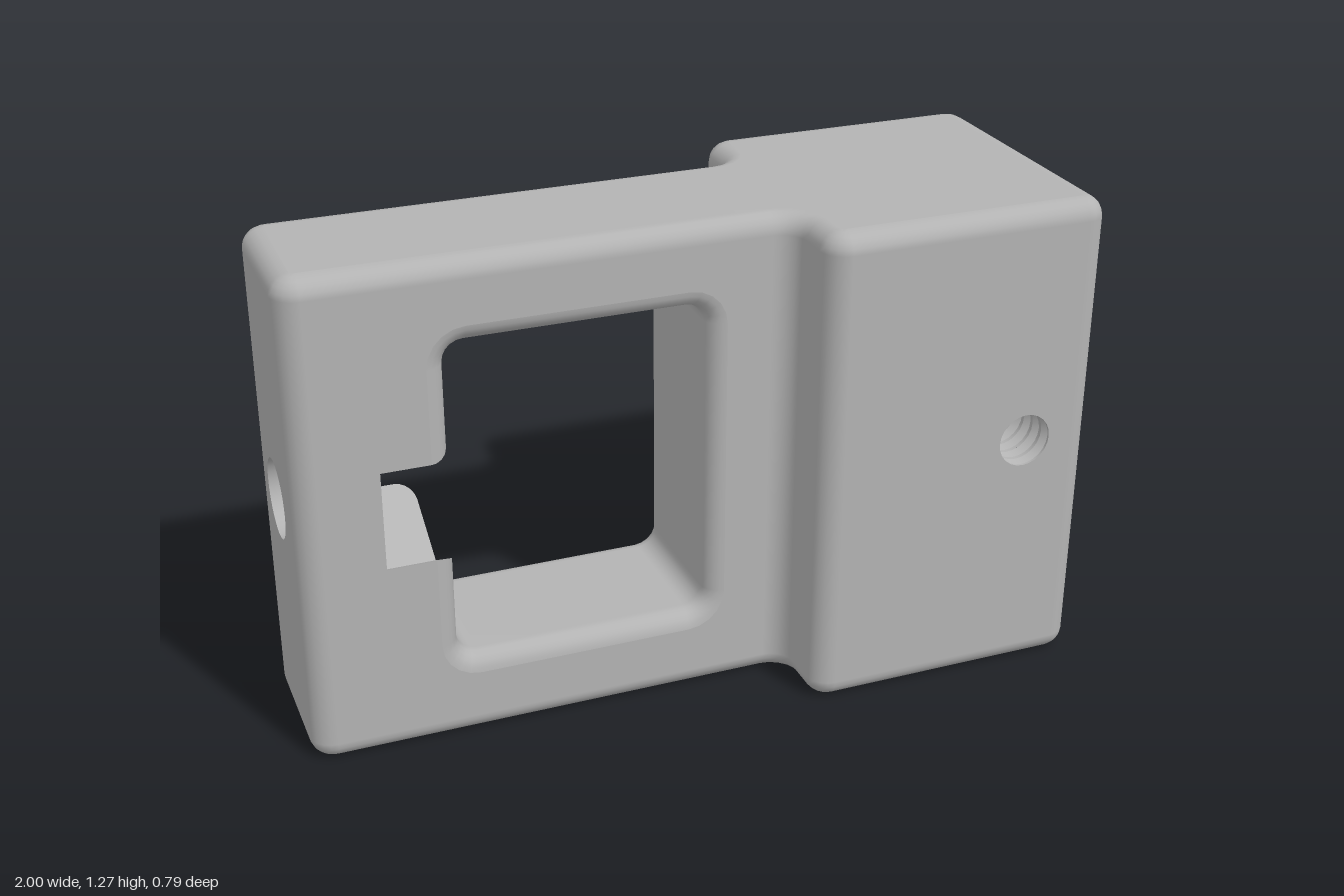
import * as THREE from 'three';

const EPS = 1e-5;

// ---- outlines -------------------------------------------------------------
// Polygon of right-angled corners [u, v, radius], each rounded by its radius
function rounded(corners, n = 5) {
  const out = [];
  corners.forEach(([u, v, r = 0], i) => {
    const p = new THREE.Vector2(u, v);
    if (!r) { out.push(p); return; }
    const dir = (c) => new THREE.Vector2(c[0], c[1]).sub(p).normalize().multiplyScalar(r);
    const a = dir(corners[(i + corners.length - 1) % corners.length]);
    const b = dir(corners[(i + 1) % corners.length]);
    for (let k = 0; k <= n; k++) {
      const t = (k / n) * Math.PI / 2;
      out.push(p.clone().addScaledVector(a, 1 - Math.sin(t)).addScaledVector(b, 1 - Math.cos(t)));
    }
  });
  return out;
}

const rect = (u0, u1, v0, v1, r) => rounded([[u0, v0, r], [u1, v0, r], [u1, v1, r], [u0, v1, r]]);

const ngon = (u, v, r, n, turn = 0) => Array.from({ length: n }, (_, i) => {
  const a = turn + (i / n) * Math.PI * 2;
  return new THREE.Vector2(u + r * Math.cos(a), v + r * Math.sin(a));
});

// ---- solids ---------------------------------------------------------------
// Extrude an outline from lo to hi: along z from (x,y), x from (z,y), y from (x,z)
function prism(points, lo, hi, axis = 'z', bevel = 0) {
  const g = new THREE.ExtrudeGeometry(new THREE.Shape(points), {
    depth: hi - lo - 2 * bevel, bevelEnabled: bevel > 0, bevelSize: bevel,
    bevelThickness: bevel, bevelOffset: -bevel, bevelSegments: 5,
  });
  const pos = g.attributes.position;
  for (let i = 0; i < pos.count; i++) {
    const u = pos.getX(i), v = pos.getY(i), w = pos.getZ(i) + lo + bevel;
    if (axis === 'z') pos.setXYZ(i, u, v, w);
    else if (axis === 'x') pos.setXYZ(i, w, v, u);
    else pos.setXYZ(i, u, w, v);
  }
  return g;
}

// Skin a stack of convex rings {z, points}
function loft(rings) {
  const n = rings[0].points.length, last = (rings.length - 1) * n;
  const pos = rings.flatMap(({ z, points }) => points.flatMap((p) => [p.x, p.y, z]));
  const idx = [];
  for (let r = 0; r < last; r += n) {
    for (let i = 0; i < n; i++) {
      const j = (i + 1) % n;
      idx.push(r + i, r + j, r + n + j, r + i, r + n + j, r + n + i);
    }
  }
  for (let i = 1; i < n - 1; i++) idx.push(0, i + 1, i, last, last + i, last + i + 1);
  const g = new THREE.BufferGeometry();
  g.setAttribute('position', new THREE.Float32BufferAttribute(pos, 3));
  g.setIndex(idx);
  return g;
}

// ---- cutting --------------------------------------------------------------
// Geometry to outward-facing polygons with creased, area-weighted normals
function toPolygons(geometry) {
  const g = geometry.index ? geometry.toNonIndexed() : geometry;
  const at = (i) => new THREE.Vector3().fromBufferAttribute(g.attributes.position, i);
  const cross = ([a, b, c]) => b.clone().sub(a).cross(c.clone().sub(a));
  const key = (p) => p.toArray().map((x) => Math.round(x * 1e4)).join();
  let tris = [], volume = 0;
  for (let i = 0; i < g.attributes.position.count; i += 3) {
    const t = [at(i), at(i + 1), at(i + 2)];
    volume += t[0].dot(t[1].clone().cross(t[2]));
    if (cross(t).length() > 1e-9) tris.push(t);
  }
  if (volume < 0) tris = tris.map((t) => t.reverse());
  const shared = new Map();
  for (const t of tris) {
    for (const p of t) {
      if (!shared.has(key(p))) shared.set(key(p), []);
      shared.get(key(p)).push(cross(t));
    }
  }
  return tris.map((t) => {
    const face = cross(t);
    const v = t.map((p) => {
      const n = new THREE.Vector3();
      for (const m of shared.get(key(p))) if (m.angleTo(face) < 0.6) n.add(m);
      return { p, n: n.normalize() };
    });
    return { v, plane: new THREE.Plane().setFromCoplanarPoints(...t) };
  });
}

function split(plane, poly, coFront, coBack, front, back) {
  const d = poly.v.map((a) => plane.distanceToPoint(a.p));
  const anyFront = d.some((x) => x > EPS), anyBack = d.some((x) => x < -EPS);
  if (!anyFront && !anyBack) (plane.normal.dot(poly.plane.normal) > 0 ? coFront : coBack).push(poly);
  else if (!anyBack) front.push(poly);
  else if (!anyFront) back.push(poly);
  else {
    const f = [], b = [];
    poly.v.forEach((a, i) => {
      const j = (i + 1) % d.length, c = poly.v[j];
      if (d[i] >= -EPS) f.push(a);
      if (d[i] <= EPS) b.push(a);
      if ((d[i] > EPS && d[j] < -EPS) || (d[i] < -EPS && d[j] > EPS)) {
        const t = d[i] / (d[i] - d[j]);
        const m = { p: a.p.clone().lerp(c.p, t), n: a.n.clone().lerp(c.n, t) };
        f.push(m);
        b.push(m);
      }
    });
    if (f.length > 2) front.push({ v: f, plane: poly.plane });
    if (b.length > 2) back.push({ v: b, plane: poly.plane });
  }
}

function buildTree(polys) {
  const plane = polys[0].plane, front = [], back = [], same = [];
  for (const p of polys.slice(1)) split(plane, p, same, same, front, back);
  return {
    plane,
    front: front.length ? buildTree(front) : null,
    back: back.length ? buildTree(back) : null,
  };
}

function clip(node, polys, inside) {
  if (!polys.length) return [];
  const f = [], b = [];
  for (const p of polys) split(node.plane, p, f, b, f, b);
  const keptFront = node.front ? clip(node.front, f, inside) : inside ? [] : f;
  const keptBack = node.back ? clip(node.back, b, inside) : inside ? b : [];
  return keptFront.concat(keptBack);
}

// Keep what lies inside or outside a solid, leaving untouched polygons whole
const sift = (solid, polys, inside) => polys.flatMap((poly) => {
  const box = new THREE.Box3().setFromPoints(poly.v.map((a) => a.p));
  if (!solid.box.intersectsBox(box)) return inside ? [] : [poly];
  return clip(solid.tree, [poly], !inside).length ? clip(solid.tree, [poly], inside) : [poly];
});

function solid(name, geometry) {
  const polys = toPolygons(geometry);
  const box = new THREE.Box3().setFromPoints(polys.flatMap((p) => p.v.map((a) => a.p)));
  return { name, polys, box, tree: buildTree(polys) };
}

function toMesh(name, polys, sign, material) {
  const pos = [], nor = [];
  for (const { v } of polys) {
    for (let i = 1; i < v.length - 1; i++) {
      for (const a of sign > 0 ? [v[0], v[i], v[i + 1]] : [v[0], v[i + 1], v[i]]) {
        pos.push(...a.p.toArray());
        nor.push(...a.n.clone().normalize().multiplyScalar(sign).toArray());
      }
    }
  }
  const g = new THREE.BufferGeometry();
  g.setAttribute('position', new THREE.Float32BufferAttribute(pos, 3));
  g.setAttribute('normal', new THREE.Float32BufferAttribute(nor, 3));
  const mesh = new THREE.Mesh(g, material);
  mesh.name = name;
  return mesh;
}

// ---- model ----------------------------------------------------------------
export function createModel() {
  const grey = new THREE.MeshStandardMaterial({ color: 0xb3b3b3 });
  grey.name = 'grey';

  // Arm and thicker end block, one plan outline with rounded edges
  const r = 0.06;
  const plan = [[-1, -0.22, r], [0.25, -0.22, r], [0.25, -0.4, r], [1, -0.4, r],
    [1, 0.39, r], [0.25, 0.39, r], [0.25, 0.2, r], [-1, 0.2, r]];
  const body = solid('body', prism(rounded(plan), 0, 1.27, 'y', 0.05));

  // Window through the arm, flaring into a rounded rim on both faces
  const rim = 0.05, rings = [];
  const ring = (z, o) => ({ z, points: rect(-0.62 - o, 0.03 + o, 0.22 - o, 1.06 + o, 0.05 + o) });
  for (let k = 0; k <= 5; k++) {
    const t = (k / 5) * Math.PI / 2, o = rim * (1 - Math.cos(t)), s = rim * (1 - Math.sin(t)) - 0.0005;
    rings.push(ring(0.2 - s, o));
    rings.unshift(ring(-0.22 + s, o));
  }
  rings.push(ring(0.3, rim));
  rings.unshift(ring(-0.32, rim));

  const slot = rounded([[0.38, -0.1], [1.1, -0.1], [1.1, 1.05], [0.38, 1.05, 0.45]], 12);
  const cuts = [
    solid('window', loft(rings)),
    solid('endSlot', prism(slot, -0.222, 0.218)),
    solid('upperChannel', prism(rect(-0.22, 1.1, 1.04, 1.145), -0.225, 0.05)),
    solid('wallPocket', prism(rect(0.5, 1.1, 0.17, 0.89), -0.325, -0.1)),
    solid('nutPocket', prism(ngon(-0.01, 0.64, 0.25, 6, Math.PI / 6), -0.79, -0.5, 'x')),
    solid('endHole', prism(ngon(-0.01, 0.64, 0.1, 28), -1.1, -0.7, 'x')),
    solid('backHole', prism(ngon(0.81, 0.655, 0.085, 28), -0.5, -0.15)),
    solid('threadedHole', prism(ngon(0.81, 0.655, 0.07, 24), 0.1, 0.5)),
  ];
  // Thread grooves around the front hole
  for (let i = 0; i < 4; i++) {
    const z = 0.242 + i * 0.042;
    cuts.push(solid('threadGroove', loft([[-0.02, 0.066], [0, 0.084], [0.02, 0.066]]
      .map(([dz, rad]) => ({ z: z + dz, points: ngon(0.81, 0.655, rad, 24) })))));
  }

  // Outer skin less every cut, then the walls of each cut
  const group = new THREE.Group();
  group.name = 'bracket';
  const outsideCuts = (polys, own) => cuts.reduce((ps, c) => (c === own ? ps : sift(c, ps, false)), polys);
  group.add(toMesh(body.name, outsideCuts(body.polys), 1, grey));
  for (const cut of cuts) {
    group.add(toMesh(cut.name, outsideCuts(sift(body, cut.polys, true), cut), -1, grey));
  }
  return group;
}
